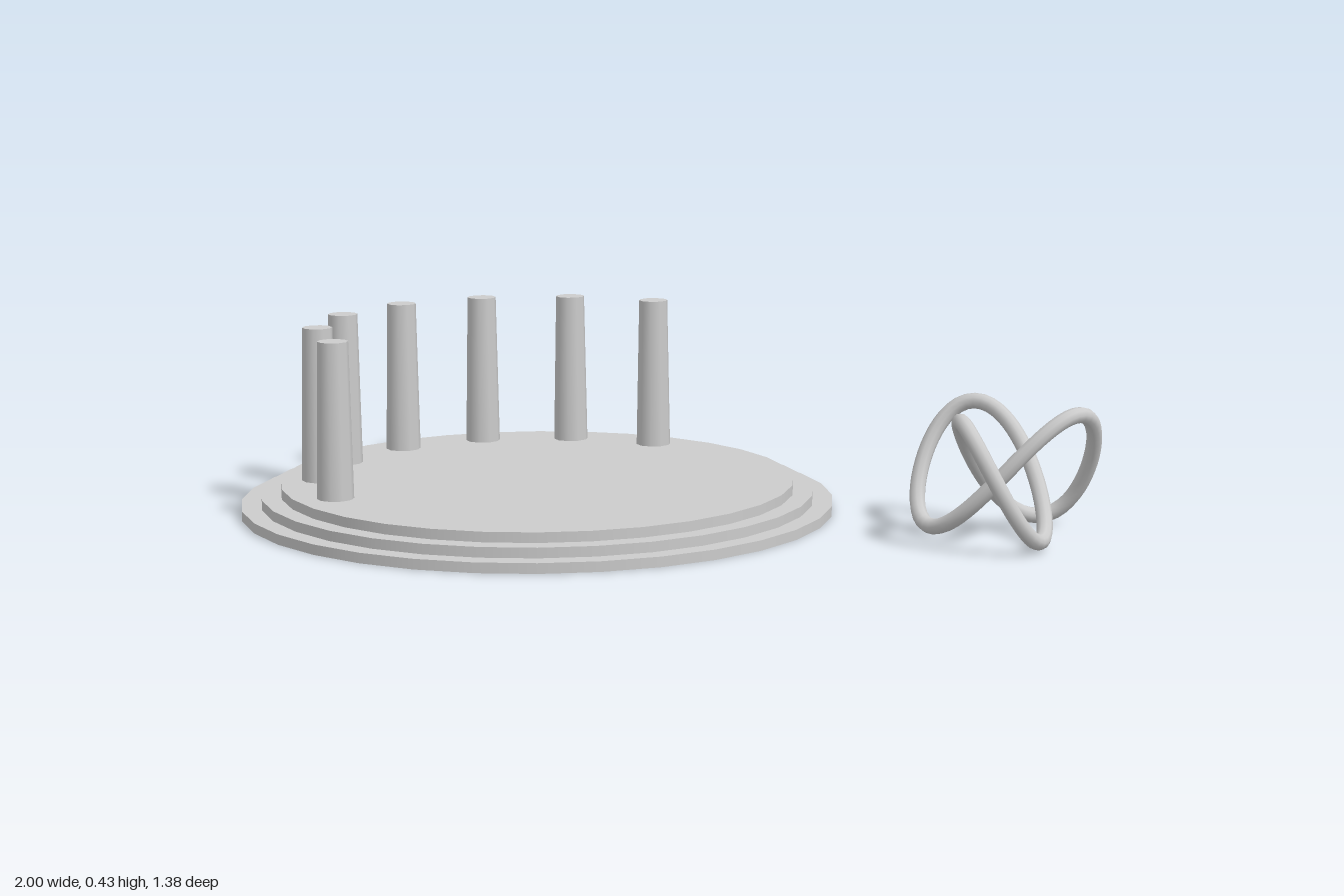
import * as THREE from 'three';

const grey = new THREE.MeshStandardMaterial({ color: 0xcccccc });

function addMesh(parent, name, geometry, x, y, z) {
  const mesh = new THREE.Mesh(geometry, grey);
  mesh.name = name;
  mesh.position.set(x, y, z);
  parent.add(mesh);
  return mesh;
}

// Trefoil knot lying flat, with one lobe pointing forward
class TrefoilCurve extends THREE.Curve {
  constructor(scale, rise) {
    super();
    this.scale = scale;
    this.rise = rise;
  }
  getPoint(u, target = new THREE.Vector3()) {
    const t = u * Math.PI * 2;
    return target.set(
      this.scale * (Math.sin(t) + 2 * Math.sin(2 * t)),
      this.rise * Math.sin(3 * t),
      this.scale * (2 * Math.cos(2 * t) - Math.cos(t))
    );
  }
}

export function createModel() {
  const model = new THREE.Group();
  model.name = 'colonnadeWithKnot';
  const centreX = -0.308;

  // Three stacked round steps
  const base = new THREE.Group();
  base.name = 'steppedBase';
  base.position.x = centreX;
  model.add(base);
  const stepHeight = 0.07 / 3;
  [0.692, 0.646, 0.6].forEach((radius, i) => {
    addMesh(base, `step${i + 1}`, new THREE.CylinderGeometry(radius, radius, stepHeight, 32),
      0, (i + 0.5) * stepHeight, 0);
  });

  // Seven tapered columns on an arc around the back and right
  const columns = new THREE.Group();
  columns.name = 'columns';
  columns.position.x = centreX;
  model.add(columns);
  const columnGeometry = new THREE.CylinderGeometry(0.035, 0.042, 0.36, 10);
  for (let i = 0; i < 7; i++) {
    const angle = THREE.MathUtils.degToRad(143 + 25 * i);
    addMesh(columns, `column${i + 1}`, columnGeometry,
      0.508 * Math.cos(angle), 0.25, 0.508 * Math.sin(angle));
  }

  // Knot sculpture standing beside the base
  addMesh(model, 'knot', new THREE.TubeGeometry(new TrefoilCurve(0.072, 0.131), 128, 0.018, 10, true),
    0.785, 0.153, 0.163);

  return model;
}
